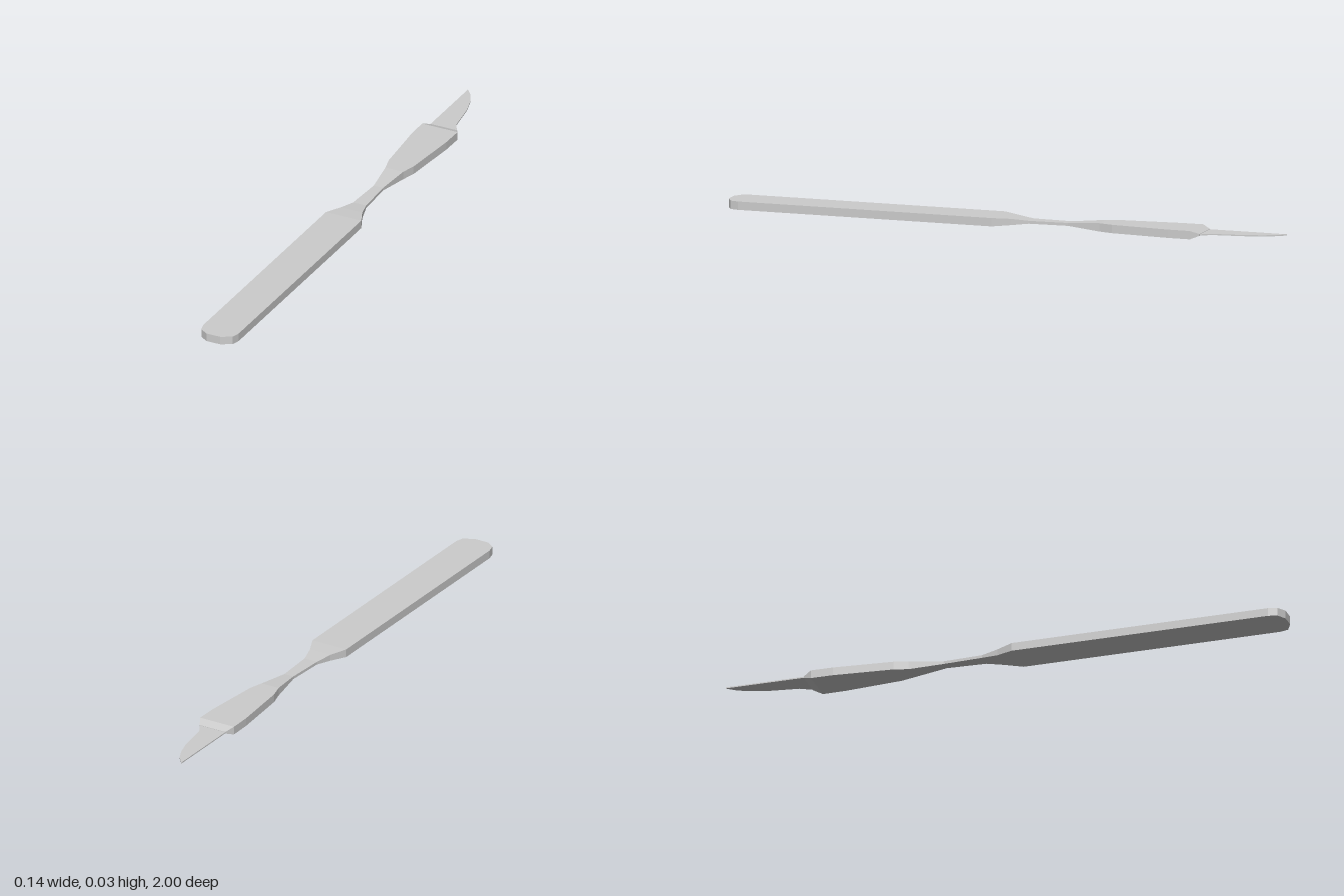
import * as THREE from 'three';

const MID = 0.0145; // height of the flat centre plane

// Joins rectangular sections [z, left x, right x, half thickness], listed front to back
function loft(name, sections) {
  const pos = [], index = [];
  for (const [z, x0, x1, h] of sections) {
    pos.push(x0, MID - h, z, x1, MID - h, z, x1, MID + h, z, x0, MID + h, z);
  }
  for (let s = 0; s < sections.length - 1; s++) {
    for (let i = 0; i < 4; i++) {
      const a = s * 4 + i, b = s * 4 + (i + 1) % 4;
      index.push(a, a + 4, b + 4, a, b + 4, b);
    }
  }
  const e = (sections.length - 1) * 4;
  index.push(0, 1, 2, 0, 2, 3, e, e + 2, e + 1, e, e + 3, e + 2); // end caps
  const indexed = new THREE.BufferGeometry();
  indexed.setAttribute('position', new THREE.Float32BufferAttribute(pos, 3));
  indexed.setIndex(index);
  const geometry = indexed.toNonIndexed();
  geometry.computeVertexNormals();
  const mesh = new THREE.Mesh(geometry, new THREE.MeshStandardMaterial({ color: 0xcccccc, flatShading: true }));
  mesh.name = name;
  return mesh;
}

const even = ([z, w, h]) => [z, -w, w, h];

export function createModel() {
  const group = new THREE.Group();
  group.name = 'scalpel';

  // Flat handle: rounded butt, long grip, pinched waist, flared head with a bevelled end
  group.add(loft('handle', [
    [1.0, -0.03, 0.022, 0.0145],
    ...[
      [0.98, 0.06, 0.0145],
      [0.95, 0.068, 0.0145],
      [0.03, 0.068, 0.0145],
      [-0.03, 0.041, 0.011],
      [-0.09, 0.025, 0.005],
      [-0.23, 0.018, 0.005],
      [-0.35, 0.034, 0.0145],
      [-0.40, 0.048, 0.0145],
      [-0.61, 0.067, 0.0145],
      [-0.69, 0.068, 0.0145],
      [-0.72, 0.052, 0.003],
    ].map(even),
  ]));

  // Thin blade: straight back on one side, curved cutting edge on the other
  group.add(loft('blade', [
    [-0.70, -0.052, 0.052, 0.002],
    [-0.72, -0.052, 0.05, 0.002],
    [-0.76, -0.052, 0.028, 0.002],
    [-0.87, -0.052, 0.012, 0.002],
    [-0.93, -0.052, -0.006, 0.002],
    [-0.97, -0.052, -0.025, 0.002],
    [-1.0, -0.052, -0.05, 0.002],
  ]));
  return group;
}
